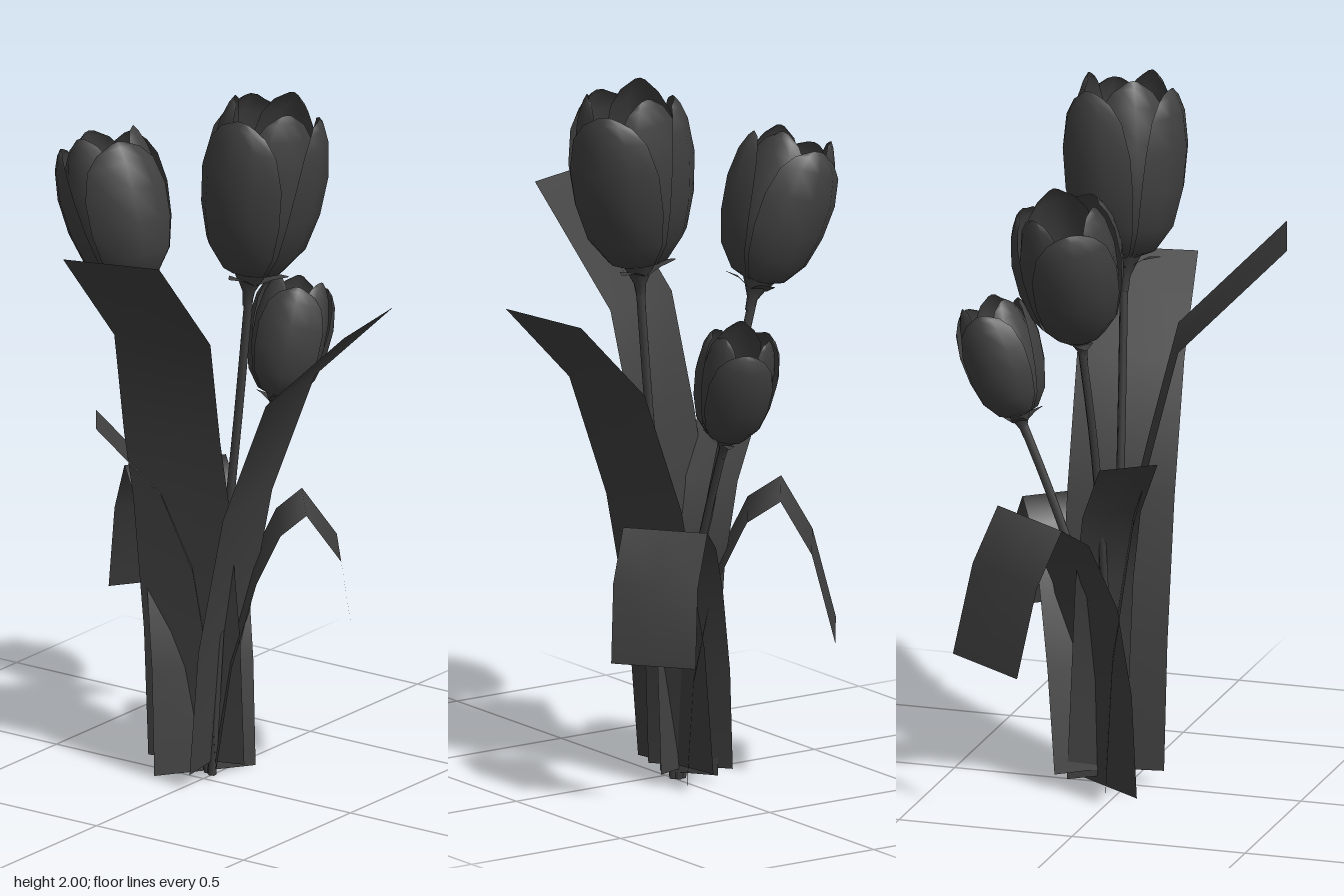
import * as THREE from 'three';

const material = new THREE.MeshStandardMaterial({ color: 0x3f3f3f, side: THREE.DoubleSide });
const V = (p) => new THREE.Vector3(...p);

function add(parent, geometry, name) {
  const mesh = new THREE.Mesh(geometry, material);
  mesh.name = name;
  parent.add(mesh);
  return mesh;
}

// Smooth surface from a grid of points: point(column, row) gives a Vector3.
function gridSurface(columns, rows, point) {
  const positions = [], index = [];
  for (let r = 0; r <= rows; r++)
    for (let c = 0; c <= columns; c++) positions.push(...point(c, r).toArray());
  for (let r = 0; r < rows; r++) {
    for (let c = 0; c < columns; c++) {
      const a = r * (columns + 1) + c, b = a + columns + 1;
      index.push(a, a + 1, b, a + 1, b + 1, b);
    }
  }
  const geometry = new THREE.BufferGeometry();
  geometry.setAttribute('position', new THREE.Float32BufferAttribute(positions, 3));
  geometry.setIndex(index);
  geometry.computeVertexNormals();
  return geometry;
}

// Strap leaf: a constant-width ribbon swept along a bent path.
function leafGeometry(path, [wx, wz]) {
  return gridSurface(2, path.length - 1, (c, r) =>
    V(path[r]).add(new THREE.Vector3(wx, 0, wz).multiplyScalar(c / 2 - 0.5)));
}

// Petal rows: height, radius and half-angle in radians.
const petalRows = [
  [0, 0.16, 0.9], [0.05, 0.53, 1.0], [0.2, 0.84, 1.0], [0.42, 0.98, 0.98],
  [0.66, 0.99, 0.92], [0.86, 0.88, 0.78], [0.96, 0.76, 0.55], [1, 0.68, 0.3],
];

// Flare opens the upper part of the petal outwards.
function petalGeometry(radius, height, flare) {
  return gridSurface(4, petalRows.length - 1, (c, r) => {
    const [y, rad, half] = petalRows[r];
    const u = c / 2 - 1;
    const angle = u * half;
    const d = rad * radius * (1 - 0.05 * u * u) * (1 + flare * y * y);
    return new THREE.Vector3(Math.sin(angle) * d, (y - 0.03 * u * u * y) * height, Math.cos(angle) * d);
  });
}

function flower({ name, stem, top, radius, turn }) {
  const group = new THREE.Group();
  group.name = name;
  const curve = new THREE.CatmullRomCurve3(stem.map(V));
  add(group, new THREE.TubeGeometry(curve, 14, 0.012, 6), 'stem');

  const head = new THREE.Group();
  head.name = 'flowerHead';
  const base = V(stem[stem.length - 1]);
  const axis = V(top).sub(base);
  const height = axis.length();
  head.position.copy(base);
  head.quaternion.setFromUnitVectors(new THREE.Vector3(0, 1, 0), axis.normalize());
  group.add(head);

  // Three inner petals sit between three flared outer ones.
  for (let i = 0; i < 6; i++) {
    const inner = i % 2 === 1;
    const petal = inner
      ? add(head, petalGeometry(radius * 0.94, height, 0), 'innerPetal')
      : add(head, petalGeometry(radius * 1.01, height * 0.94, 0.2), 'outerPetal');
    petal.rotation.y = turn + i * Math.PI / 3;
  }

  // Swollen stem top with small flared sepals.
  const s = radius / 0.16;
  const cup = [[0.012, -0.09], [0.017, -0.05], [0.034, -0.015], [0.05, 0.015]];
  add(head, new THREE.LatheGeometry(cup.map(([x, y]) => new THREE.Vector2(x * s, y * s)), 8), 'receptacle');
  for (let i = 0; i < 3; i++) {
    const sepal = add(head, gridSurface(2, 2, (c, r) => new THREE.Vector3(
      (c - 1) * [0.03, 0.028, 0.004][r] * s, [-0.02, 0.002, 0.008][r] * s, [0.02, 0.06, 0.1][r] * s)), 'sepal');
    sepal.rotation.y = turn + i * Math.PI * 2 / 3;
  }

  // Pistil and a pair of stamens inside the cup.
  const pistil = add(head, new THREE.CylinderGeometry(0.012 * s, 0.018 * s, height * 0.4, 6), 'pistil');
  pistil.position.y = height * 0.2;
  const stigma = add(head, new THREE.SphereGeometry(0.022 * s, 8, 6), 'stigma');
  stigma.position.y = height * 0.41;
  for (const side of [-1, 1]) {
    const tip = new THREE.Vector3(side * 0.05 * s, height * 0.33, -side * 0.02 * s);
    const line = new THREE.LineCurve3(new THREE.Vector3(0, 0.02, 0), tip);
    add(head, new THREE.TubeGeometry(line, 1, 0.005 * s, 5), 'stamen');
    add(head, new THREE.SphereGeometry(0.014 * s, 6, 5), 'anther').position.copy(tip);
  }
  return group;
}

export function createModel() {
  const model = new THREE.Group();
  model.name = 'flowerBunch';

  const flowers = [
    { name: 'tallFlower', radius: 0.165, turn: 2.1, top: [0.185, 1.985, -0.068],
      stem: [[0, 0, -0.04], [0.04, 0.6, -0.04], [0.09, 1.1, -0.045], [0.125, 1.475, -0.05]] },
    { name: 'leftFlower', radius: 0.146, turn: 5.2, top: [-0.4, 1.78, -0.068],
      stem: [[-0.02, 0, -0.05], [-0.08, 0.55, -0.04], [-0.185, 1, -0.035], [-0.272, 1.37, -0.05]] },
    { name: 'backFlower', radius: 0.11, turn: 0.6, top: [0.025, 1.345, -0.418],
      stem: [[-0.01, 0, -0.05], [0, 0.45, -0.1], [0.01, 0.77, -0.21], [0.02, 1.025, -0.318]] },
  ];
  for (const f of flowers) model.add(flower(f));

  const leaves = [
    { name: 'frontLeaf', width: [0.265, -0.085],
      path: [[-0.057, 0.03, -0.045], [-0.057, 0.4, -0.025], [-0.052, 0.8, 0.032], [-0.048, 1, 0.08],
        [-0.027, 1.31, 0.155], [0.017, 1.62, 0.455]] },
    { name: 'sideLeaf', width: [0.047, 0.295],
      path: [[0, 0.04, -0.05], [0.03, 0.4, -0.05], [0.11, 0.8, -0.055], [0.245, 1.155, -0.07], [0.484, 1.39, -0.107]] },
    { name: 'backDroopingLeaf', width: [0.152, 0.188],
      path: [[-0.025, 0.04, -0.085], [0.005, 0.33, -0.115], [0.058, 0.57, -0.157], [0.11, 0.71, -0.198],
        [0.168, 0.77, -0.24], [0.243, 0.635, -0.3], [0.266, 0.415, -0.323]] },
    { name: 'sideDroopingLeaf', width: [0.17, -0.24],
      path: [[-0.035, 0, -0.055], [-0.05, 0.3, -0.065], [-0.09, 0.56, -0.094], [-0.17, 0.76, -0.15],
        [-0.245, 0.82, -0.204], [-0.315, 0.67, -0.254], [-0.365, 0.42, -0.295]] },
    { name: 'smallLeaf', width: [0.1, 0.136],
      path: [[-0.02, 0.02, -0.085], [-0.03, 0.3, -0.07], [-0.07, 0.6, -0.045], [-0.145, 0.82, 0], [-0.295, 1.01, 0.097]] },
  ];
  for (const { name, path, width } of leaves) add(model, leafGeometry(path, width), name);

  return model;
}
